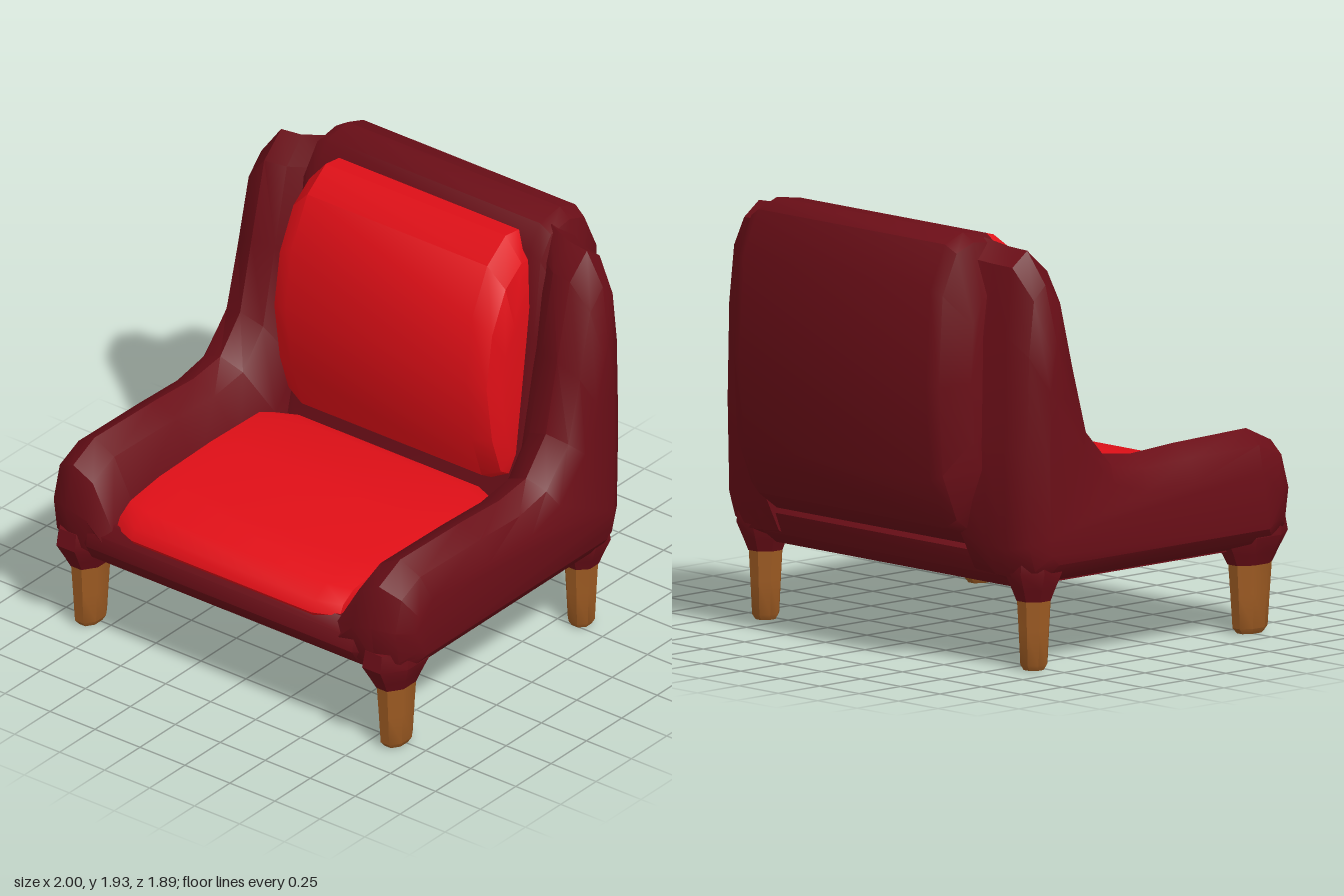
import * as THREE from 'three';
import { toCreasedNormals } from 'three/addons/utils/BufferGeometryUtils.js';

const fabric = new THREE.MeshStandardMaterial({ color: 0x6a0e17 });
const cushionFabric = new THREE.MeshStandardMaterial({ color: 0xe00f17 });
const wood = new THREE.MeshStandardMaterial({ color: 0x9c5a22 });

// Skin a list of { x, pts: [[z, y], ...] } rings and close both ends
function loft(rings, crease = 0.65) {
  rings = [...rings].sort((a, b) => a.x - b.x);
  const out = [];
  const put = (r, j) => out.push(r.x, r.pts[j][1], r.pts[j][0]);
  const n = rings[0].pts.length;
  for (let i = 0; i < rings.length - 1; i++) {
    const a = rings[i], b = rings[i + 1];
    for (let j = 0; j < n; j++) {
      const k = (j + 1) % n;
      put(a, j); put(b, j); put(a, k);
      put(b, j); put(b, k); put(a, k);
    }
  }
  const cap = (r, high) => {
    const v = r.pts.map(p => new THREE.Vector2(p[0], p[1]));
    for (const [a, b, c] of THREE.ShapeUtils.triangulateShape(v, [])) {
      const ccw = THREE.ShapeUtils.area([v[a], v[b], v[c]]) > 0;
      (ccw !== high ? [a, b, c] : [a, c, b]).forEach(j => put(r, j));
    }
  };
  cap(rings[0], false);
  cap(rings[rings.length - 1], true);
  const g = new THREE.BufferGeometry();
  g.setAttribute('position', new THREE.Float32BufferAttribute(out, 3));
  return toCreasedNormals(g, crease);
}

const mix = (a, b, t) => a.map((p, i) => [
  p[0] + (b[i][0] - p[0]) * t, p[1] + (b[i][1] - p[1]) * t]);

// Symmetric padded body: steps are [x, scale about centre], from middle outward
function padded(profile, centre, steps) {
  const rings = [];
  const c = profile.map(() => centre);
  for (const [x, k] of steps)
    for (const s of [-1, 1]) rings.push({ x: s * x, pts: mix(c, profile, k) });
  return loft(rings);
}

// Side profiles [z, y]: outer face, ridge and inner face of arm and wing
const outer = [
  [0.74, 0.48], [0.8, 0.52], [0.82, 0.62], [0.8, 0.7], [0.7, 0.74], [0.3, 0.74],
  [0, 0.74], [-0.2, 0.8], [-0.38, 0.98], [-0.46, 1.2], [-0.51, 1.4], [-0.54, 1.46],
  [-0.57, 1.4], [-0.58, 1.25], [-0.59, 0.95], [-0.58, 0.6], [-0.57, 0.52], [-0.53, 0.48]];
const ridge = [
  [0.84, 0.38], [0.92, 0.46], [0.945, 0.65], [0.89, 0.84], [0.74, 0.91], [0.3, 0.9],
  [0.04, 0.885], [-0.15, 0.91], [-0.29, 1.07], [-0.37, 1.4], [-0.46, 1.76], [-0.58, 1.865],
  [-0.67, 1.8], [-0.71, 1.5], [-0.72, 1], [-0.71, 0.55], [-0.66, 0.42], [-0.58, 0.38]];
const inner = [
  [0.8, 0.38], [0.9, 0.44], [0.93, 0.5], [0.9, 0.58], [0.74, 0.62], [0.3, 0.62],
  [0, 0.62], [-0.25, 0.66], [-0.4, 0.85], [-0.5, 1.35], [-0.56, 1.76], [-0.62, 1.9],
  [-0.74, 1.83], [-0.79, 1.5], [-0.8, 1], [-0.76, 0.6], [-0.68, 0.44], [-0.58, 0.38]];

const sidePanel = s => loft([
  { x: s * 1, pts: outer },
  { x: s * 0.95, pts: mix(ridge, outer, 0.35) },
  { x: s * 0.85, pts: ridge },
  { x: s * 0.74, pts: mix(ridge, inner, 0.2) },
  { x: s * 0.62, pts: inner }]);

// Eight-sided turned piece, scaled to half widths hx, hz
function turned(points, hx, hz) {
  const k = 1 / Math.cos(Math.PI / 8);
  const g = new THREE.LatheGeometry(points.map(p => new THREE.Vector2(p[0] * k, p[1])), 8);
  g.rotateY(Math.PI / 8);
  g.scale(hx, 1, hz);
  return toCreasedNormals(g, 0.6);
}

export function createModel() {
  const model = new THREE.Group();
  const add = (name, geometry, material, x = 0, z = 0) => {
    const mesh = new THREE.Mesh(geometry, material);
    mesh.name = name;
    mesh.position.set(x, 0, z);
    model.add(mesh);
  };

  // Seat frame with rounded front rail
  add('seatFrame', padded([
    [0.82, 0.36], [0.9, 0.42], [0.94, 0.49], [0.93, 0.56], [0.88, 0.61],
    [-0.6, 0.61], [-0.7, 0.52], [-0.66, 0.42], [-0.58, 0.36]],
  [0.1, 0.5], [[0.74, 1], [0.85, 0.9]]), fabric);

  // Bulging backrest
  add('backrest', padded([
    [-0.3, 0.5], [-0.36, 0.75], [-0.45, 1.4], [-0.5, 1.8], [-0.58, 1.91],
    [-0.72, 1.93], [-0.83, 1.89], [-0.92, 1.7], [-0.945, 1.27], [-0.92, 0.85],
    [-0.83, 0.63], [-0.72, 0.55]],
  [-0.6, 1.3], [[0.59, 1], [0.65, 0.94], [0.73, 0.6]]), fabric);

  // Seat cushion
  add('seatCushion', padded([
    [0.88, 0.54], [0.925, 0.6], [0.9, 0.65], [0.82, 0.7], [0.6, 0.73], [0.2, 0.74],
    [-0.17, 0.73], [-0.26, 0.69], [-0.28, 0.55]],
  [0.3, 0.6], [[0.5, 1], [0.62, 0.92], [0.65, 0.6]]), cushionFabric);

  // Back cushion
  add('backCushion', padded([
    [-0.36, 0.69], [-0.28, 0.74], [-0.21, 0.95], [-0.165, 1.27], [-0.21, 1.56],
    [-0.32, 1.78], [-0.45, 1.875], [-0.56, 1.86], [-0.56, 1.4], [-0.45, 0.75]],
  [-0.44, 1.05], [[0.5, 1], [0.59, 0.87], [0.615, 0.6]]), cushionFabric);

  // Arms with wings, legs and the upholstered sockets above them
  for (const [s, side] of [[1, 'left'], [-1, 'right']]) {
    add(side + 'ArmAndWing', sidePanel(s), fabric);
    for (const [z, hz, end] of [[0.765, 0.105, 'Front'], [-0.54, 0.075, 'Back']]) {
      add(side + end + 'Leg', turned([
        [0, 0], [0.6, 0], [0.8, 0.025], [0.9, 0.18], [1, 0.32], [0, 0.32]],
      0.07, hz), wood, s * 0.85, z);
      add(side + end + 'LegSocket', turned([
        [0, 0.31], [1.04, 0.31], [1.3, 0.36], [1.75, 0.44], [1.6, 0.52], [0, 0.52]],
      0.07, hz * 0.98), fabric, s * 0.85, z);
    }
  }
  return model;
}
